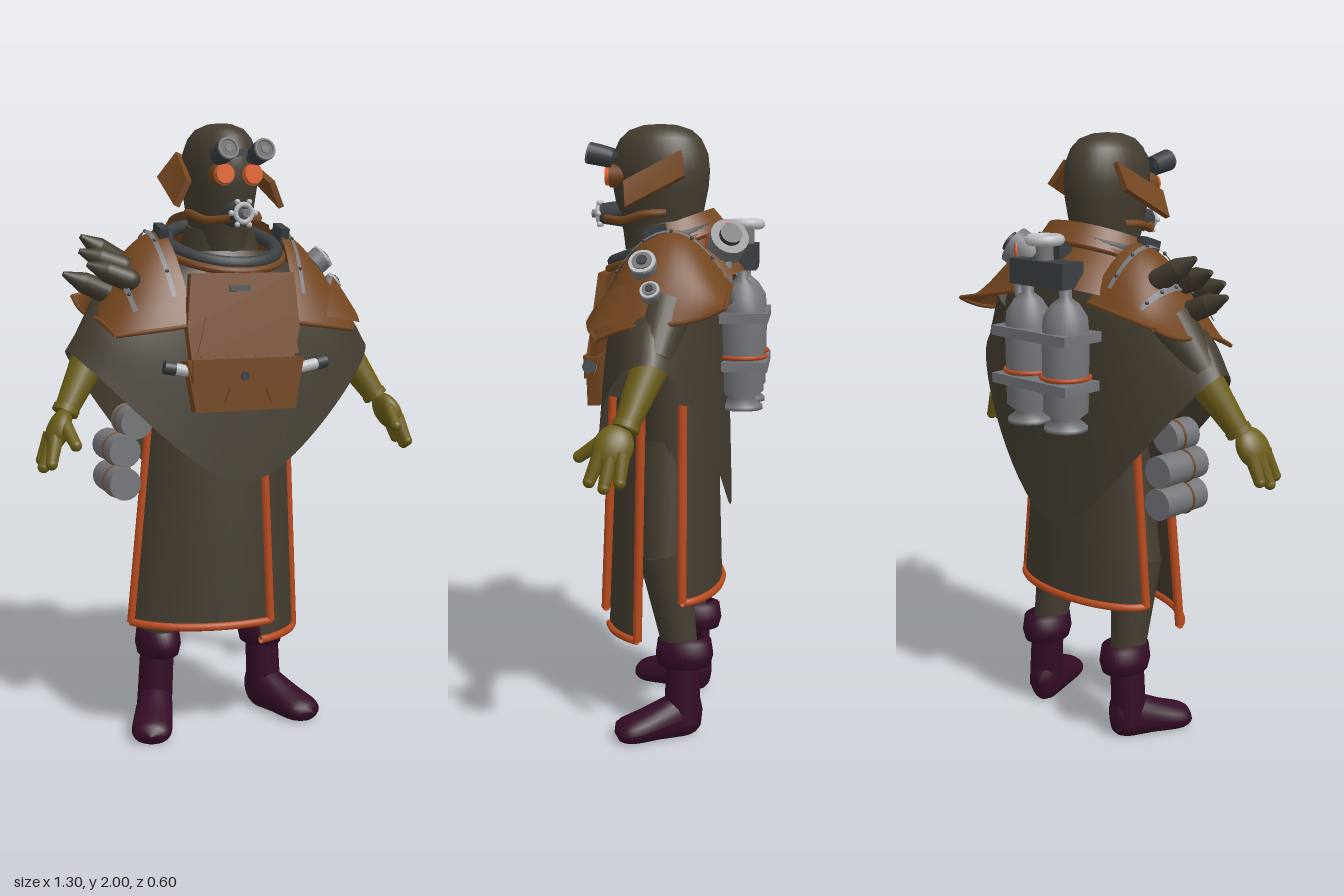
import * as THREE from 'three';

const V = (x, y, z) => new THREE.Vector3(x, y, z);
const mat = (name, color) => {
  const m = new THREE.MeshStandardMaterial({ color, side: THREE.DoubleSide });
  m.name = name;
  return m;
};

export function createModel() {
  const M = {
    cloth: mat('dark cloth', 0x433c2f), leather: mat('brown leather', 0x74461f),
    trim: mat('orange trim', 0xb84a1c), glove: mat('olive glove', 0x6c5e18),
    boot: mat('purple boot', 0x340c26), steel: mat('grey steel', 0x74767a),
    iron: mat('dark iron', 0x3a3f42), pale: mat('pale metal', 0xbcbfc2),
    lens: mat('glowing lens', 0xf0682a),
  };
  const root = new THREE.Group();
  let parent = root;
  const add = (name, geo, m, p = [0, 0, 0], r = [0, 0, 0], s = [1, 1, 1]) => {
    const mesh = new THREE.Mesh(geo, m);
    mesh.name = name;
    mesh.position.set(...p);
    mesh.rotation.set(...r);
    mesh.scale.set(...s);
    parent.add(mesh);
    return mesh;
  };
  const box = (name, m, size, p, r) => add(name, new THREE.BoxGeometry(...size), m, p, r);
  const ball = (name, m, size, p, r) => add(name, new THREE.SphereGeometry(1, 24, 16), m, p, r, size);
  const lathe = (name, m, pts, p, r, s) =>
    add(name, new THREE.LatheGeometry(pts.map(q => new THREE.Vector2(...q)), 36), m, p, r, s);
  // tapered cylinder from point a to point b
  const rod = (name, m, a, b, r1, r2 = r1, seg = 20) => {
    const A = V(...a), d = V(...b).sub(A);
    const mesh = add(name, new THREE.CylinderGeometry(r2, r1, d.length(), seg), m);
    mesh.position.copy(A).addScaledVector(d, 0.5);
    mesh.quaternion.setFromUnitVectors(V(0, 1, 0), d.normalize());
    return mesh;
  };
  const tube = (name, m, pts, r) =>
    add(name, new THREE.TubeGeometry(new THREE.CatmullRomCurve3(pts), pts.length * 3, r, 8), m);
  // smooth sheet from f(u, v), both 0..1
  const sheet = (name, m, f, nu = 20, nv = 14) => {
    const pos = [], idx = [];
    for (let j = 0; j <= nv; j++) for (let i = 0; i <= nu; i++) pos.push(...f(i / nu, j / nv).toArray());
    for (let j = 0; j < nv; j++) for (let i = 0; i < nu; i++) {
      const a = j * (nu + 1) + i, b = a + nu + 1;
      idx.push(a, b, a + 1, a + 1, b, b + 1);
    }
    const g = new THREE.BufferGeometry();
    g.setAttribute('position', new THREE.Float32BufferAttribute(pos, 3));
    g.setIndex(idx);
    g.computeVertexNormals();
    return add(name, g, m);
  };
  const plate = (name, m, pts, depth, p, r) => add(name, new THREE.ExtrudeGeometry(
    new THREE.Shape(pts.map(q => new THREE.Vector2(...q))), { depth, bevelEnabled: false }), m, p, r);
  const line = (f, n = 10) => Array.from({ length: n + 1 }, (_, i) => f(i / n));

  // Hooded head: domed, deep front to back, narrow at the jaw
  const head = new THREE.Group();
  head.name = 'head';
  head.position.x = -0.015;
  root.add(head);
  parent = head;
  lathe('hood', M.cloth, [[0.085, 1.6], [0.09, 1.66], [0.104, 1.73], [0.114, 1.8], [0.117, 1.85], [0.113, 1.905],
    [0.097, 1.952], [0.075, 1.98], [0.04, 1.996], [0, 2]], [0, 0, 0.058], [0, 0, 0], [1, 1, 1.37]);
  box('goggleBar', M.iron, [0.17, 0.022, 0.03], [0, 1.9, 0.205]);
  for (const s of [-1, 1]) {
    rod('eyeRim', M.leather, [s * 0.045, 1.835, 0.16], [s * 0.047, 1.835, 0.218], 0.038, 0.036);
    rod('eyeLens', M.lens, [s * 0.047, 1.835, 0.2], [s * 0.048, 1.835, 0.232], 0.034, 0.029);
    rod('magnifier', M.iron, [s * 0.06, 1.89, 0.205], [s * 0.06, 1.908, 0.282], 0.031, 0.035);
    add('magnifierRim', new THREE.TorusGeometry(0.03, 0.005, 8, 24), M.steel, [s * 0.06, 1.908, 0.283], [-0.25, 0, 0]);
    rod('magnifierHub', M.steel, [s * 0.06, 1.908, 0.28], [s * 0.06, 1.909, 0.288], 0.012);
    // ear flap: a slanted wing, high at the back
    const ear = d => (u, v) => {
      const top = V(0.15, 1.82, 0.16).lerp(V(0.118, 1.915, -0.02), u);
      const low = V(0.188, 1.74, 0.15).lerp(V(0.178, 1.835, -0.037), u);
      const p = top.lerp(low, v);
      return V(s * (p.x - d), p.y - d * 0.4, p.z);
    };
    sheet('earFlap', M.leather, ear(0), 2, 2);
    sheet('earFlapLining', M.leather, ear(0.018), 2, 2);
    for (const v of [0, 1]) sheet('earFlapEdge', M.leather, (a, b) => ear(0.018 * b)(a, v), 2, 1);
    for (const u of [0, 1]) sheet('earFlapEnd', M.leather, (a, b) => ear(0.018 * b)(u, a), 2, 1);
    tube('breathingHose', M.leather, [V(s * 0.03, 1.7, 0.235), V(s * 0.085, 1.695, 0.17), V(s * 0.112, 1.715, 0.1), V(s * 0.1, 1.72, 0.03)], 0.013);
  }
  rod('respirator', M.iron, [0, 1.715, 0.17], [0, 1.715, 0.258], 0.045, 0.032);
  add('respiratorRing', new THREE.TorusGeometry(0.027, 0.008, 8, 24), M.pale, [0, 1.715, 0.262]);
  rod('respiratorValve', M.steel, [0, 1.715, 0.25], [0, 1.715, 0.285], 0.013);
  for (let i = 0; i < 6; i++) {
    const a = i * Math.PI / 3;
    ball('respiratorKnob', M.pale, [0.009, 0.009, 0.009], [0.04 * Math.cos(a), 1.715 + 0.04 * Math.sin(a), 0.258]);
  }
  parent = root;

  // Tilted collar and yoke, with a raised leather collar at the back
  rod('neck', M.cloth, [0, 1.5, 0.02], [-0.01, 1.68, 0.05], 0.15, 0.11);
  lathe('yoke', M.leather, [[0.28, -0.15], [0.25, -0.07], [0.205, -0.03], [0.195, 0.01]], [0, 1.61, 0.04], [0.33, 0, 0], [1, 1, 0.88]);
  add('collarRing', new THREE.TorusGeometry(0.18, 0.022, 12, 48), M.iron, [0, 1.622, 0.04], [Math.PI / 2 + 0.35, 0, 0]);
  add('collarLip', new THREE.TorusGeometry(0.198, 0.013, 10, 48), M.leather, [0, 1.605, 0.04], [Math.PI / 2 + 0.35, 0, 0]);
  add('backCollar', new THREE.CylinderGeometry(0.178, 0.205, 0.07, 32, 1, true, Math.PI * 0.55, Math.PI * 0.9),
    M.leather, [0, 1.64, 0.04], [0.35, 0, 0]);
  for (const s of [-1, 1]) box('collarClamp', M.iron, [0.03, 0.05, 0.07], [s * 0.21, 1.655, 0.045], [0.3, 0, 0]);

  // Poncho, long at front and back, narrowing over the arms
  sheet('poncho', M.cloth, (u, v) => {
    const t = u * Math.PI * 2, s = Math.sin(t), c = Math.cos(t), front = c > 0, k = 0.035 * s * s;
    const low = front ? 0.87 : 0.75, side = (Math.hypot(s, 0.36) - 0.36) / (Math.hypot(1, 0.36) - 0.36);
    return new THREE.CatmullRomCurve3([
      V(0.17 * s, 1.6, 0.02 + 0.14 * c),
      V(0.33 * s, 1.5, (front ? 0.2 : 0.15) * c),
      V(0.45 * s, 1.4 - 0.13 * c * c, k + (front ? 0.225 : 0.165) * c),
      V(0.525 * s, low + (1.29 - low) * side, k + (front ? 0.25 : 0.18) * c)]).getPoint(v);
  }, 72, 18);

  // Body and skirt panels with orange hems
  add('torso', new THREE.CylinderGeometry(0.2, 0.2, 0.62, 28), M.cloth, [0, 1.18, 0.01], [0, 0, 0], [1, 1, 0.68]);
  const panel = (name, a, b, t0, t1, yLow, shrink, edges) => {
    const f = (u, v) => {
      const t = (t0 + (t1 - t0) * u) * Math.PI / 180, k = shrink + (1 - shrink) * v;
      return V(a * k * Math.sin(t), 1.12 + (yLow - 1.12) * v, b * (0.88 + 0.12 * v) * Math.cos(t));
    };
    sheet(name, M.cloth, f, 24, 8);
    tube(name + 'Hem', M.trim, line(u => f(u, 1), 14), 0.013);
    for (const u of edges) tube(name + 'Edge', M.trim, line(v => f(u, v), 6), 0.015);
  };
  panel('frontSkirt', 0.355, 0.245, -70, 15.5, 0.4, 0.77, [0, 1]);
  panel('sideSkirt', 0.265, 0.235, 14, 62, 0.335, 0.88, [1]);
  panel('backSkirt', 0.29, 0.15, 106, 258, 0.485, 0.78, [0, 1]);

  // Legs and boots
  for (const [s, x] of [[-1, -0.2], [1, 0.18]]) {
    rod('thigh', M.cloth, [s * 0.1, 0.98, 0.03], [x * 0.93, 0.6, 0.03], 0.1, 0.082);
    rod('shin', M.cloth, [x * 0.93, 0.62, 0.03], [x, 0.28, -0.03], 0.084, 0.056);
    lathe('bootCuff', M.boot, [[0.055, 0], [0.072, 0.005], [0.08, 0.04], [0.074, 0.09], [0.054, 0.1]], [x, 0.24, -0.04], [0, 0, 0], [0.95, 1, 1.2]);
    rod('bootShaft', M.boot, [x * 1.08, 0.05, -0.035], [x * 1.02, 0.27, -0.035], 0.06, 0.057);
    // foot lofted from heel to toe, sloping down from the instep
    const foot = sheet('bootFoot', M.boot, (u, v) => {
      const t = u * Math.PI * 2, e = Math.sqrt(Math.max(0, 1 - Math.pow(Math.abs(2 * v - 1), 6)));
      const h = 0.07 + 0.09 * Math.pow(Math.cos(Math.PI / 2 * v), 2);
      return V((0.054 + 0.018 * v) * e * Math.cos(t), Math.max(0.004, h / 2 + (h / 2 + 0.008) * e * Math.sin(t)), -0.07 + 0.305 * v);
    }, 24, 20);
    foot.position.set(x * 1.06, 0, -0.035);
    foot.rotation.y = s * 0.4;
  }

  // Arms, gloves and fingers
  for (const s of [-1, 1]) {
    rod('sleeve', M.cloth, [s * 0.34, 1.44, 0], [s * 0.45, 1.29, 0.03], 0.08, 0.06);
    ball('elbow', M.glove, [0.056, 0.058, 0.058], [s * 0.45, 1.265, 0.042]);
    rod('forearm', M.glove, [s * 0.45, 1.265, 0.042], [s * 0.55, 1.1, 0.1], 0.057, 0.036);
    rod('gloveCuff', M.glove, [s * 0.54, 1.118, 0.094], [s * 0.549, 1.102, 0.099], 0.042);
    ball('palm', M.glove, [0.036, 0.07, 0.06], [s * 0.578, 1.055, 0.13], [-0.35, 0, s * 0.45]);
    [[0.626, 0.96, 0.105], [0.632, 0.945, 0.15], [0.618, 0.96, 0.195], [0.552, 1.02, 0.235]].forEach((tip, i) => {
      const base = i < 3 ? [s * 0.595, 1.04, 0.1 + i * 0.032] : [s * 0.567, 1.08, 0.15];
      tip[0] *= s;
      rod('finger', M.glove, base, tip, 0.024, 0.018, 12);
      ball('fingertip', M.glove, [0.0185, 0.0185, 0.0185], tip);
    });
  }

  // Shoulder plates hanging down in front, flared at the back, with metal strips
  const shoulder = (s, lift = 0) => (u, v) => {
    const w = 2 * v - 1, f = Math.max(w, 0);
    const ridge = 1.67 - 0.05 * u - 0.22 * u * u, edge = w > 0 ? 1.375 - 0.03 * u : 1.5 - 0.05 * u;
    return V(s * (0.2 + 0.24 * u - 0.03 * w * w * (1 - u) - (s > 0 ? 0.045 : 0.025) * f * f * u + lift * u),
      ridge + (edge - ridge) * w * w + lift, w > 0 ? (0.25 - 0.04 * u * u + lift) * w : 0.185 * w);
  };
  for (const s of [-1, 1]) {
    const f = shoulder(s), raised = shoulder(s, 0.009);
    sheet('shoulderPlate', M.leather, f);
    for (const v of [0, 1]) tube('plateRim', M.leather, line(u => f(u, v)), 0.007);
    tube('plateRim', M.leather, line(v => f(1, v)), 0.007);
    for (const u of s < 0 ? [0.16, 0.64] : [0.12]) {
      sheet('plateStrip', M.steel, (a, b) => raised(u + a * 0.055, 0.08 + 0.84 * b), 2, 20);
      for (let i = 0; i < 5; i++) ball('rivet', M.iron, [0.006, 0.006, 0.006], raised(u + 0.027, 0.15 + i * 0.17).toArray());
    }
  }
  const patchAt = shoulder(1, 0.02);
  sheet('shoulderPatch', M.leather, (u, v) => patchAt(0.98 - 0.55 * u * (0.55 + 0.45 * v), 0.74 + 0.25 * v), 8, 8);

  // Gauges on the left shoulder
  for (const [p, r] of [[[0.335, 1.565, 0.07], 0.042], [[0.395, 1.485, 0.04], 0.03]]) {
    const q = k => [p[0] + 0.75 * k, p[1] + 0.64 * k, p[2] + 0.1 * k];
    rod('gaugeBody', M.steel, q(-0.02), q(0.02), r);
    rod('gaugeRim', M.pale, q(0.015), q(0.026), r);
    rod('gaugeFace', M.steel, q(0.02), q(0.03), r * 0.74);
    rod('gaugeHub', M.iron, q(0.028), q(0.035), r * 0.4);
  }
  // Spikes on the right shoulder
  for (const [a, b] of [[[-0.33, 1.57, -0.04], [-0.455, 1.645, -0.02]], [[-0.34, 1.55, 0.05], [-0.475, 1.6, 0.03]],
    [[-0.34, 1.51, 0.12], [-0.47, 1.56, 0.1]], [[-0.39, 1.47, 0.04], [-0.53, 1.53, 0.04]]]) {
    const mid = a.map((k, i) => k + (b[i] - k) * 0.55);
    rod('spike', M.cloth, a, mid, 0.036, 0.033);
    ball('spikeBase', M.cloth, [0.036, 0.036, 0.036], a);
    rod('spikeTip', M.cloth, mid, b, 0.033, 0.008);
  }

  // Chest plate, apron flap and pouch
  plate('chestPlate', M.leather, [[-0.18, 0.13], [0.17, 0.13], [0.18, -0.04], [0.15, -0.16], [-0.19, -0.16], [-0.2, -0.04]],
    0.03, [0, 1.4, 0.225], [-0.14, 0, 0]);
  plate('apronFlap', M.leather, [[-0.14, 0], [0.155, 0.005], [0.17, -0.12], [-0.175, -0.12]], 0.01, [0, 1.395, 0.25], [-0.14, 0, 0]);
  box('chestBadge', M.iron, [0.07, 0.018, 0.012], [-0.02, 1.485, 0.244], [-0.14, 0, 0]);
  plate('pouch', M.leather, [[-0.21, 0.08], [0.185, 0.08], [0.16, -0.08], [-0.18, -0.08]], 0.04, [0, 1.185, 0.238]);
  plate('pouchFlap', M.leather, [[-0.21, 0.085], [0.185, 0.085], [0.17, 0.01], [-0.19, 0.01]], 0.008, [0, 1.185, 0.278]);
  rod('pouchButton', M.iron, [-0.02, 1.215, 0.28], [-0.02, 1.215, 0.292], 0.014);
  for (const s of [-1, 1]) {
    box('pouchTab', M.leather, [0.016, 0.05, 0.01], [s * 0.07, 1.155, 0.281], [0, 0, s * 0.35]);
    rod('torch', M.pale, [s * 0.17, 1.23, 0.262], [s * 0.255, 1.245, 0.255], 0.018);
    rod('torchCap', M.iron, [s * 0.24, 1.242, 0.256], [s * 0.275, 1.248, 0.252], 0.021);
  }
  box('pouchBuckle', M.leather, [0.05, 0.065, 0.03], [-0.17, 1.235, 0.28]);

  // Canisters at the right hip
  for (const [x, y, back] of [[-0.32, 1.06, 0.01], [-0.36, 0.97, -0.07], [-0.36, 0.865, -0.07]]) {
    rod('hipCanister', M.steel, [x, y, back], [x, y, 0.12], 0.052);
    add('canisterBand', new THREE.TorusGeometry(0.052, 0.004, 8, 24), M.leather, [x, y, 0.05]);
  }

  // Twin air tanks with brackets and valve
  for (const x of [-0.1, 0.07]) {
    lathe('airTank', M.steel, [[0, 0], [0.07, 0], [0.07, 0.012], [0.042, 0.035], [0.072, 0.06], [0.075, 0.3], [0.07, 0.36], [0.045, 0.4], [0.02, 0.42], [0.02, 0.47]],
      [x, 1.09, -0.215]);
    add('tankRing', new THREE.TorusGeometry(0.077, 0.007, 8, 28), M.trim, [x, 1.262, -0.215], [Math.PI / 2, 0, 0]);
  }
  for (const y of [1.39, 1.235]) box('tankBracket', M.steel, [0.335, 0.032, 0.16], [-0.015, y, -0.22]);
  box('valveBlock', M.iron, [0.24, 0.08, 0.09], [-0.015, 1.58, -0.215]);
  rod('valveStem', M.steel, [-0.015, 1.56, -0.22], [-0.015, 1.685, -0.22], 0.028);
  add('valveWheel', new THREE.TorusGeometry(0.046, 0.017, 10, 32), M.pale, [-0.015, 1.682, -0.22], [Math.PI / 2, 0, 0]);
  ball('valveHub', M.pale, [0.022, 0.012, 0.022], [-0.015, 1.685, -0.22]);
  box('backClamp', M.iron, [0.06, 0.06, 0.07], [-0.015, 1.64, -0.15]);
  rod('regulator', M.steel, [0.1, 1.6, -0.15], [0.17, 1.65, -0.18], 0.062);
  add('regulatorRing', new THREE.TorusGeometry(0.062, 0.006, 8, 28), M.trim, [0.135, 1.625, -0.165], [-0.4, 1.95, 0]);
  rod('regulatorCap', M.iron, [0.165, 1.646, -0.178], [0.185, 1.66, -0.186], 0.035);
  tube('regulatorHose', M.steel, [V(0.13, 1.6, -0.17), V(0.16, 1.52, -0.17), V(0.13, 1.46, -0.18), V(0.1, 1.42, -0.19)], 0.018);
  return root;
}
